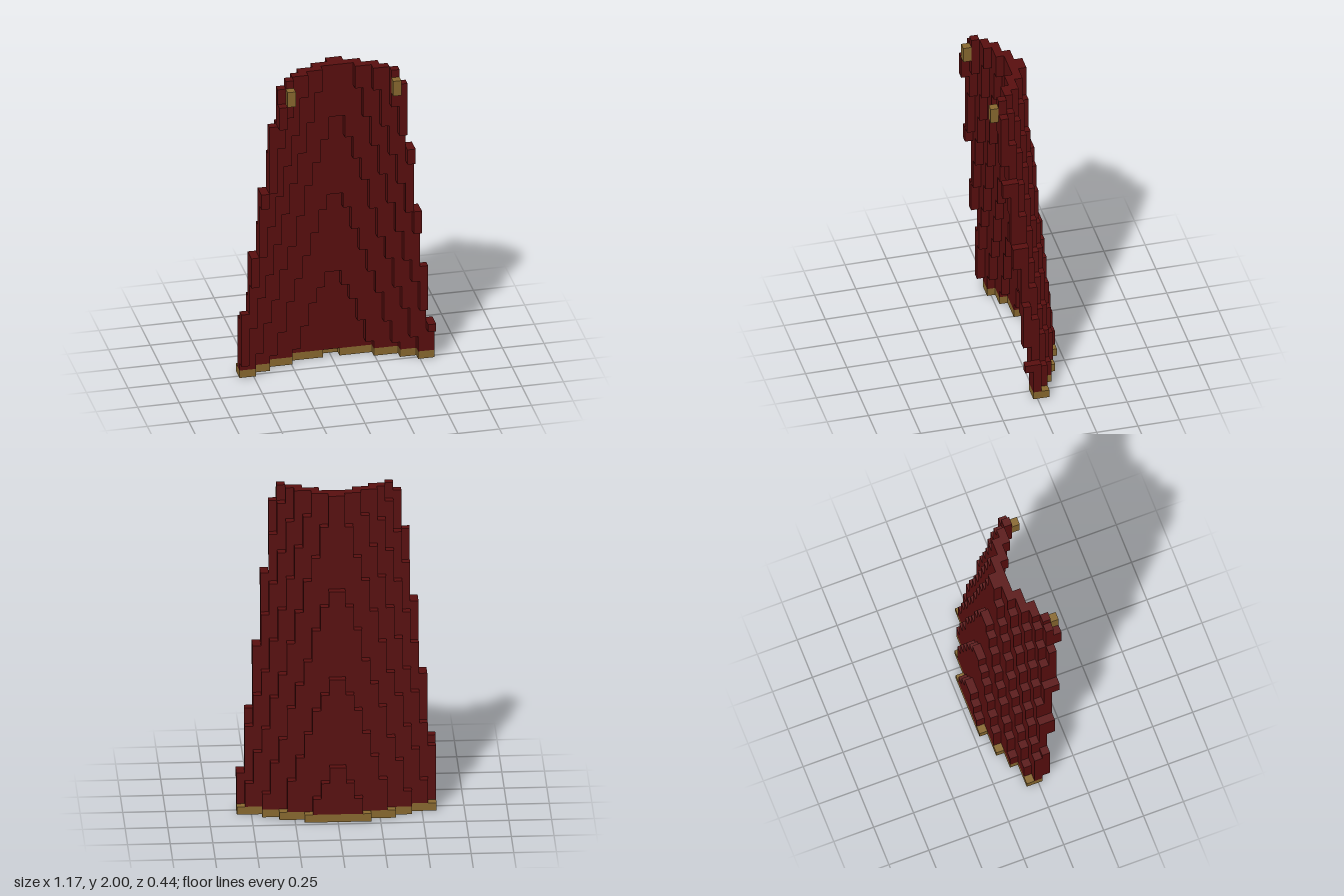
import * as THREE from 'three';
import { mergeGeometries } from 'three/addons/utils/BufferGeometryUtils.js';

const ROWS = 41;
const V = 2 / ROWS; // size of one block

// Rows at which each side edge steps in by one block
const STEPS = { '-1': [9, 17, 26, 35, 40], '1': [5, 13, 21, 30, 39] };

// Box covering block ranges (upper bounds exclusive); z blocks are centred on integers
function blocks(x0, x1, y0, y1, z0, z1) {
  const g = new THREE.BoxGeometry((x1 - x0) * V, (y1 - y0) * V, (z1 - z0) * V);
  g.translate((x0 + x1) * V / 2, (y0 + y1) * V / 2, (z0 + z1 - 1) * V / 2);
  return g;
}

// Back and front block of the cloth in one column, or null outside its edge
function span(side, col, row) {
  const count = 12 - STEPS[side].filter((r) => row >= r).length;
  if (col >= count) return null;
  const halfWidth = 12.2 - 0.118 * row;
  const depth = (u) => -4.136 + Math.min(row, 39) / 11 + 3.92 * Math.pow(Math.min(u, 1), 1.5);
  const u = (col + 0.5) / halfWidth;
  const outerLeft = side === -1 && col === count - 1;
  const back = Math.round(depth(u));
  let front = Math.round(depth(outerLeft ? 1 : u) + 0.55);
  if (!(outerLeft && row >= 35 && row <= 37)) front = Math.min(front, 3);
  return [Math.min(back, front), front];
}

export function createModel() {
  const red = new THREE.MeshStandardMaterial({ color: 0x5a0f0f });
  red.name = 'dark red cloth';
  const gold = new THREE.MeshStandardMaterial({ color: 0x8a6a30 });
  gold.name = 'dull gold';

  const cloth = [], hem = [], clasps = [];
  for (const side of [-1, 1]) {
    for (let col = 0; col < 12; col++) {
      const x = side === 1 ? col : -col - 1;
      // gold hem is the lowest row
      const h = span(side, col, 0);
      if (h) hem.push(blocks(x, x + 1, 0, 1, h[0], h[1] + 1));
      // cloth: join equal rows of a column into one box
      let start = 1;
      for (let row = 1; row < ROWS; row++) {
        const s = span(side, col, row);
        const next = row + 1 < ROWS ? span(side, col, row + 1) : null;
        if (s && (!next || next[0] !== s[0] || next[1] !== s[1])) {
          cloth.push(blocks(x, x + 1, start, row + 1, s[0], s[1] + 1));
          start = row + 1;
        }
      }
    }
    // shoulder clasp
    const cx = side === 1 ? 6 : -7;
    clasps.push(blocks(cx, cx + 1, 38, 40, 4, 5));
  }

  const group = new THREE.Group();
  group.name = 'cape';
  const add = (name, parts, material) => {
    const mesh = new THREE.Mesh(mergeGeometries(parts), material);
    mesh.name = name;
    group.add(mesh);
  };
  add('cloth', cloth, red);
  add('hem', hem, gold);
  add('shoulderClasps', clasps, gold);
  return group;
}
